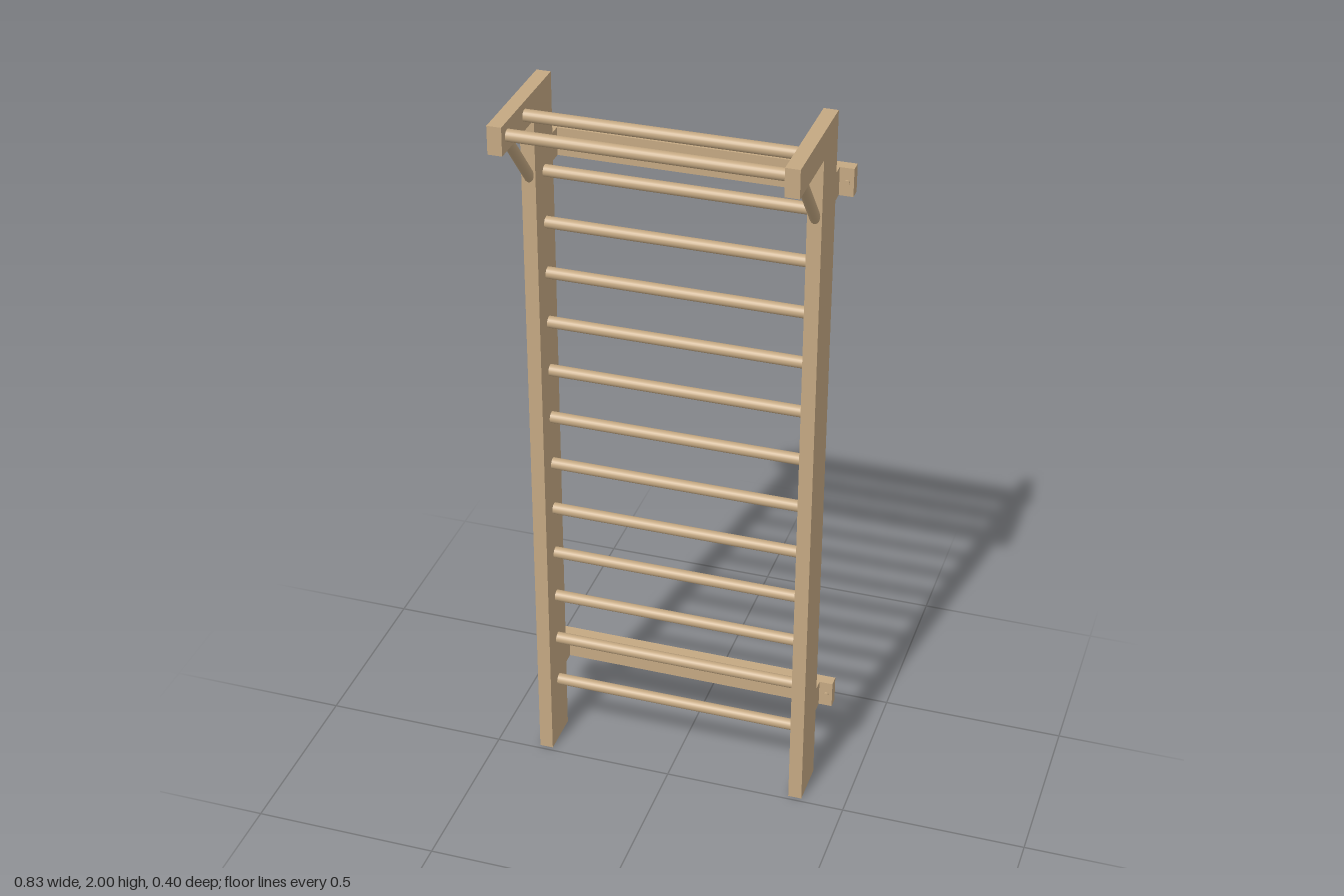
import * as THREE from 'three';

const wood = new THREE.MeshStandardMaterial({ color: 0xc4a882 });
wood.name = 'light wood';

const POST_X = 0.3615, POST_W = 0.037, BACK = -0.137, FACE = -0.012;

export function createModel() {
  const model = new THREE.Group();
  model.name = 'wallBars';

  const add = (name, geometry, x = 0, y = 0, z = 0) => {
    const mesh = new THREE.Mesh(geometry, wood);
    mesh.name = name;
    mesh.position.set(x, y, z);
    model.add(mesh);
    return mesh;
  };

  // Side profile of a post with its forward arm, drawn as (-z, y)
  const profile = new THREE.Shape([
    [-FACE, 0], [-BACK, 0], [-BACK, 2], [-0.2, 2], [-0.2, 1.926], [-FACE, 1.926],
  ].map(([u, y]) => new THREE.Vector2(u, y)));
  const postGeometry = new THREE.ExtrudeGeometry(profile, { depth: POST_W, bevelEnabled: false });
  postGeometry.translate(0, 0, -POST_W / 2);
  postGeometry.rotateY(Math.PI / 2);

  // Diagonal brace, its ends sunk into post and arm
  const low = new THREE.Vector3(0, 1.762, -0.026);
  const high = new THREE.Vector3(0, 1.943, 0.131);
  const along = high.clone().sub(low);
  const braceGeometry = new THREE.CylinderGeometry(0.014, 0.014, along.length(), 20);
  const braceTurn = new THREE.Quaternion().setFromUnitVectors(
    new THREE.Vector3(0, 1, 0), along.clone().normalize());
  const braceMiddle = low.clone().add(high).multiplyScalar(0.5);

  const railHeights = [0.249, 1.799];
  const spacerGeometry = new THREE.BoxGeometry(POST_W, 0.075, 0.033);
  const boltGeometry = new THREE.CylinderGeometry(0.0065, 0.0065, 0.006, 16);
  boltGeometry.rotateX(Math.PI / 2);

  for (const [side, label] of [[1, 'left'], [-1, 'right']]) {
    const x = side * POST_X;
    add(label + 'Post', postGeometry, x);
    add(label + 'Brace', braceGeometry, x, braceMiddle.y, braceMiddle.z).quaternion.copy(braceTurn);
    for (const y of railHeights) {
      add(label + 'Spacer', spacerGeometry, x, y, -0.1525);
      add(label + 'Bolt', boltGeometry, side * 0.4, y, -0.166);
    }
  }

  // Wall mounting rails
  const railGeometry = new THREE.BoxGeometry(0.833, 0.075, 0.031);
  for (const y of railHeights) add('wallRail', railGeometry, 0, y, -0.1845);

  // Ladder rungs and the two pull-up bars
  const rungGeometry = new THREE.CylinderGeometry(0.0155, 0.0155, 0.70, 24);
  rungGeometry.rotateZ(Math.PI / 2);
  for (let i = 0; i < 12; i++) add('rung', rungGeometry, 0, 0.196 + i * 0.1424, -0.077);
  for (const z of [0.047, 0.163]) add('pullUpBar', rungGeometry, 0, 1.965, z);

  return model;
}
